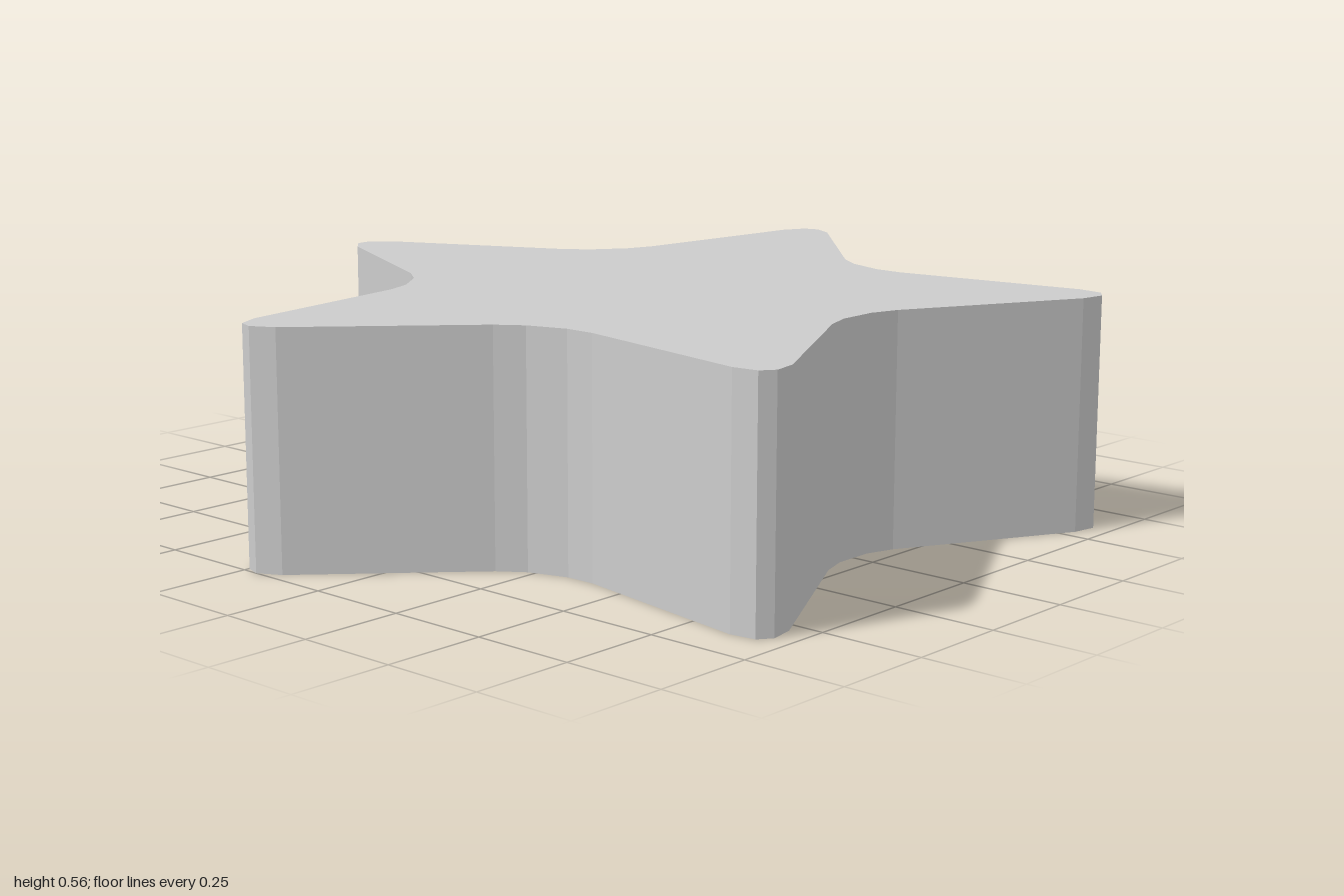
import * as THREE from 'three';

const HEIGHT = 0.56;
const CENTRE_X = 0.095;

// Outline of one fifth of the star: a rounded tip, then a rounded valley.
const TIP = [[1.0, -0.063], [1.045, -0.02], [1.045, 0.02], [1.0, 0.063]];
const VALLEY = [[0.622, -0.12], [0.6, -0.05], [0.6, 0.05], [0.622, 0.12]];

function starShape() {
  const points = [];
  const add = (corners, angle) => {
    for (const [x, y] of corners) {
      points.push(new THREE.Vector2(x, y).rotateAround(new THREE.Vector2(), angle));
    }
  };
  // One tip points along -x
  for (let i = 0; i < 5; i++) {
    const angle = Math.PI + (i * Math.PI * 2) / 5;
    add(TIP, angle);
    add(VALLEY, angle + Math.PI / 5);
  }
  return new THREE.Shape(points);
}

export function createModel() {
  const group = new THREE.Group();
  group.name = 'starBlock';

  // Thick five-pointed star lying flat
  const geometry = new THREE.ExtrudeGeometry(starShape(), { depth: HEIGHT, bevelEnabled: false });
  geometry.rotateX(-Math.PI / 2);
  geometry.translate(CENTRE_X, 0, 0);
  const star = new THREE.Mesh(
    geometry,
    new THREE.MeshStandardMaterial({ color: 0xcccccc, flatShading: true })
  );
  star.name = 'star';
  group.add(star);
  return group;
}
